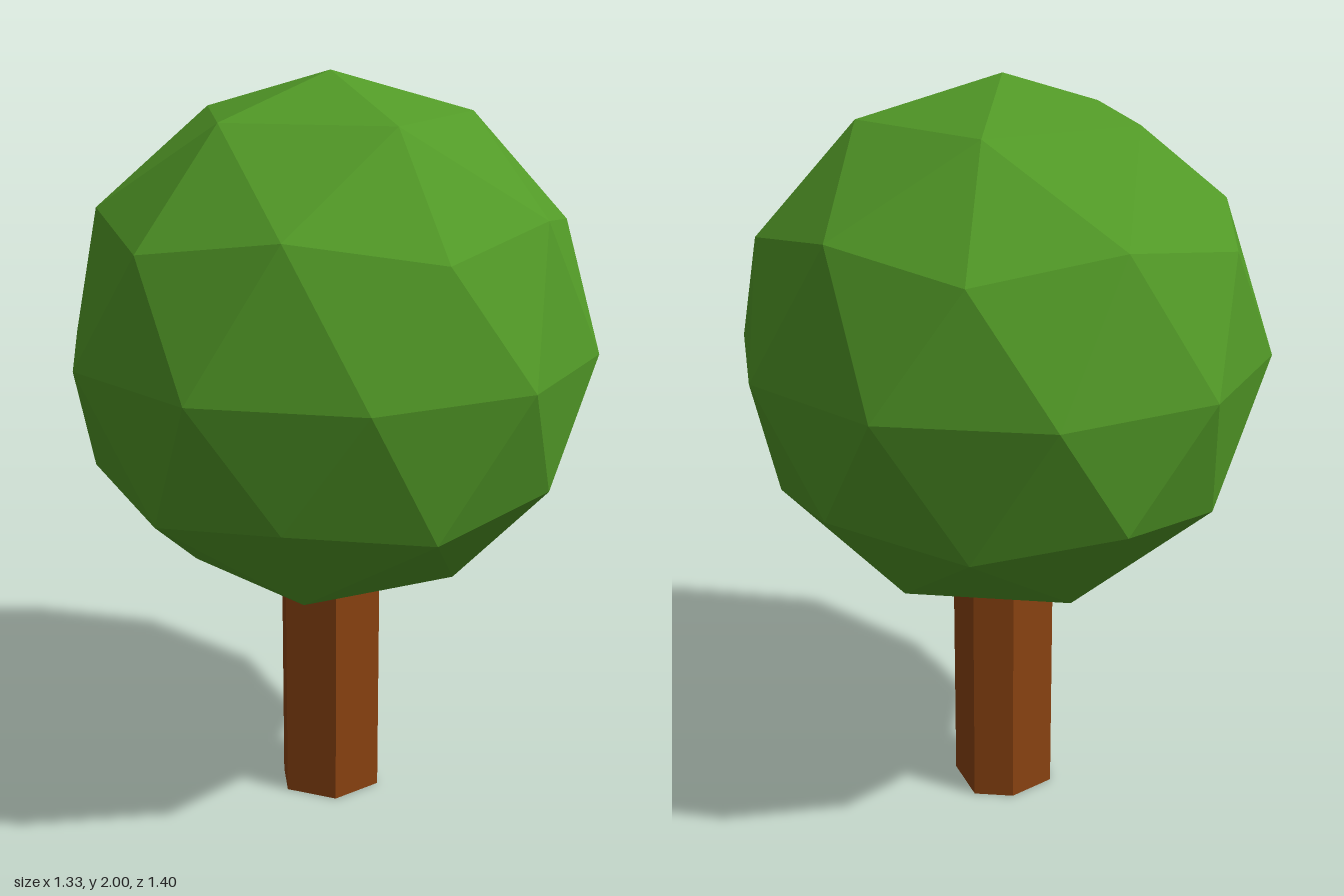
import * as THREE from 'three';

export function createModel() {
  const model = new THREE.Group();
  model.name = 'tree';

  const leafGreen = new THREE.MeshStandardMaterial({ color: 0x529a27, flatShading: true });
  leafGreen.name = 'leafGreen';
  const barkBrown = new THREE.MeshStandardMaterial({ color: 0x8b4311, flatShading: true });
  barkBrown.name = 'barkBrown';

  // Canopy: faceted icosphere, tipped so one corner points straight up
  const radius = 0.7;
  const golden = (1 + Math.sqrt(5)) / 2;
  const canopyGeometry = new THREE.IcosahedronGeometry(radius, 1);
  canopyGeometry.rotateZ(-Math.atan(1 / golden));
  const canopy = new THREE.Mesh(canopyGeometry, leafGreen);
  canopy.name = 'canopy';
  canopy.position.y = 2 - radius;
  model.add(canopy);

  // Trunk: slightly uneven six-sided post, outline given as x, z
  const outline = [
    [0, 0.115], [0.13, 0.045], [0.1, -0.106],
    [-0.005, -0.137], [-0.127, -0.073], [-0.129, 0.046],
  ];
  const trunkShape = new THREE.Shape(outline.map(([x, z]) => new THREE.Vector2(x, -z)));
  const trunkGeometry = new THREE.ExtrudeGeometry(trunkShape, { depth: 0.75, bevelEnabled: false });
  trunkGeometry.rotateX(-Math.PI / 2);
  const trunk = new THREE.Mesh(trunkGeometry, barkBrown);
  trunk.name = 'trunk';
  model.add(trunk);

  return model;
}
